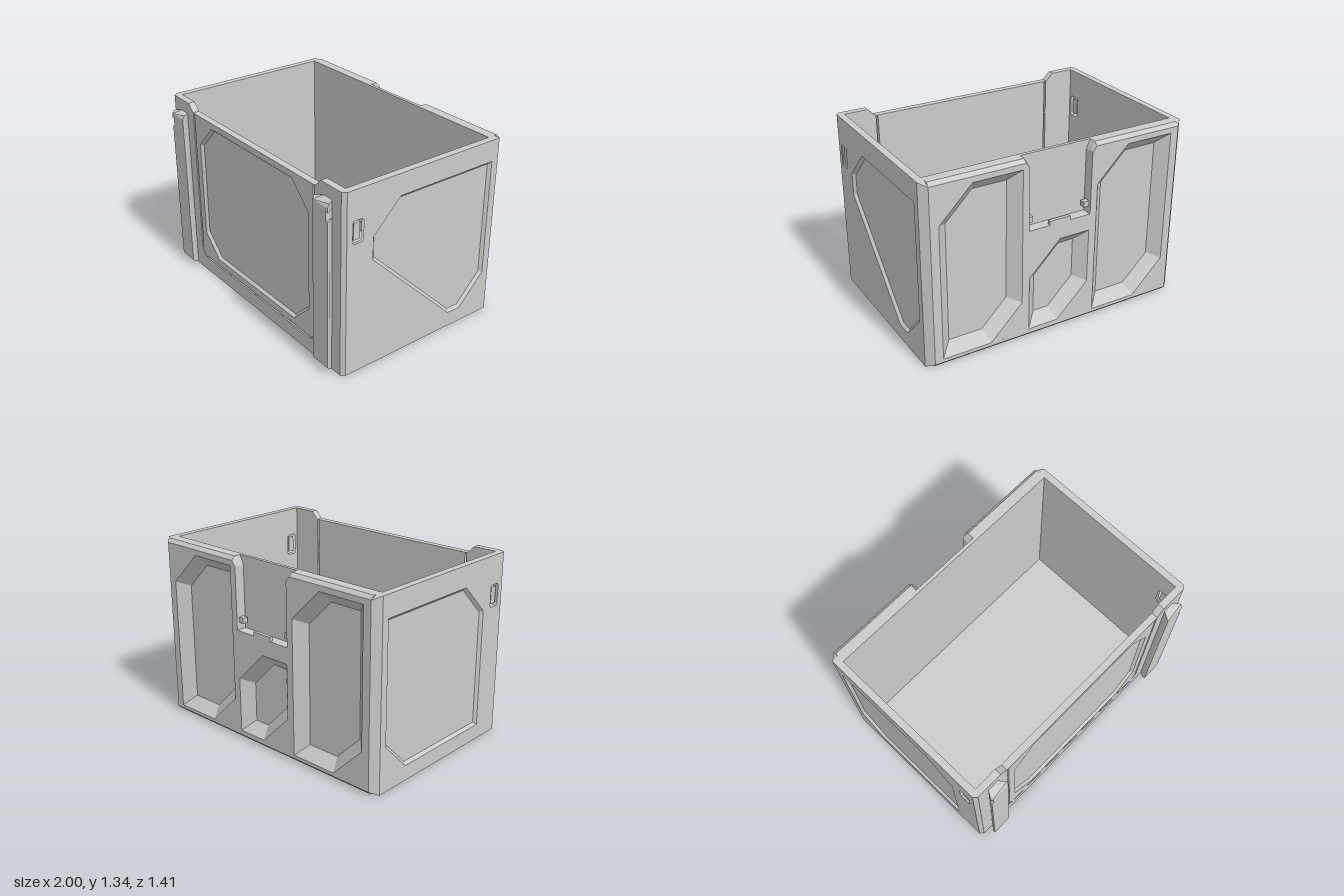
import * as THREE from 'three';

const material = new THREE.MeshStandardMaterial({ color: 0xcccccc, flatShading: true });
const H = 1.335;

const toPoints = (pts) => pts.map(([x, y]) => new THREE.Vector2(x, y));
const rect = (x0, y0, x1, y1) => [[x0, y0], [x1, y0], [x1, y1], [x0, y1]];

function add(parent, geometry, name) {
  const mesh = new THREE.Mesh(geometry, material);
  mesh.name = name;
  parent.add(mesh);
  return mesh;
}

// Flat plate with holes, extruded along local z from z0 to z1
function plate(outline, holes, z0, z1) {
  const shape = new THREE.Shape(toPoints(outline));
  shape.holes = holes.map((h) => new THREE.Path(toPoints(h)));
  const g = new THREE.ExtrudeGeometry(shape, { depth: z1 - z0, bevelEnabled: false });
  return g.translate(0, 0, z0);
}

// Upright prism from a plan outline given as [x, z]
function prism(plan, y0, y1) {
  return plate(plan.map(([x, z]) => [x, -z]), [], y0, y1).rotateX(-Math.PI / 2);
}

// Move every vertex by a rule
function reshape(g, rule) {
  const p = g.attributes.position;
  const v = new THREE.Vector3();
  for (let i = 0; i < p.count; i++) {
    rule(v.fromBufferAttribute(p, i));
    p.setXYZ(i, v.x, v.y, v.z);
  }
  g.computeVertexNormals();
  return g;
}

// Sloping walls from a recess mouth at z1 down to its inset floor at z0
function slopes(outline, inset, z0, z1) {
  const pts = toPoints(outline);
  if (THREE.ShapeUtils.area(pts) < 0) pts.reverse();
  const n = pts.length;
  const normals = pts.map((p, i) => {
    const d = pts[(i + 1) % n].clone().sub(p).normalize();
    return new THREE.Vector2(-d.y, d.x);
  });
  const inner = pts.map((p, i) => {
    const a = normals[(i + n - 1) % n], b = normals[i];
    return a.clone().add(b).multiplyScalar(inset / (1 + a.dot(b))).add(p);
  });
  const pos = [];
  for (let i = 0; i < n; i++) {
    const j = (i + 1) % n;
    const a = [pts[i].x, pts[i].y, z1], b = [pts[j].x, pts[j].y, z1];
    const c = [inner[j].x, inner[j].y, z0], d = [inner[i].x, inner[i].y, z0];
    pos.push(...a, ...b, ...c, ...a, ...c, ...d);
  }
  const g = new THREE.BufferGeometry();
  g.setAttribute('position', new THREE.Float32BufferAttribute(pos, 3));
  g.computeVertexNormals();
  return g;
}

// Side wall: local x runs front to back on +x (dir 1), back to front on -x
function sideWall(dir) {
  const wall = new THREE.Group();
  wall.name = dir > 0 ? 'leftWall' : 'rightWall';
  const flip = (pts) => pts.map(([z, y]) => [-dir * z, y]);
  const outline = flip(rect(-0.66, 0, 0.62, H));
  const lower = dir > 0 ? [[-0.29, 0.11], [0.41, 0.8]] : [[0.41, 0.11]];
  const recess = flip([[0.41, 0.965], [0.195, 1.18], [-0.605, 1.18],
    [-0.605, 0.32], [-0.4, 0.11], ...lower]);
  const slot = flip([[0.5, 0.965], [0.565, 0.965], [0.575, 0.98], [0.575, 1.11],
    [0.565, 1.125], [0.5, 1.125], [0.49, 1.11], [0.49, 0.98]]);
  add(wall, plate(outline, [slot], 0.95, 0.98), 'wallBacking');
  add(wall, plate(outline, [slot, recess], 0.98, 1), 'wallFace');
  add(wall, slopes(recess, 0.02, 0.98, 1), 'recessBevel');
  add(wall, plate(flip(rect(0.51, 0.985, 0.56, 1.105)), [], 0.96, 0.99), 'strapBar');
  wall.rotation.y = dir * Math.PI / 2;
  return wall;
}

// Front wall with lowered top edge, octagonal recess and a perforated outline
function frontWall() {
  const wall = new THREE.Group();
  wall.name = 'frontWall';
  const outline = [[-0.95, 0], [0.95, 0], [0.95, H], [0.775, H], [0.72, 1.28],
    [-0.72, 1.28], [-0.775, H], [-0.95, H]];
  const recess = [[-0.645, 1.06], [-0.475, 1.235], [0.475, 1.235], [0.645, 1.06],
    [0.645, 0.34], [0.475, 0.175], [-0.475, 0.175], [-0.645, 0.34]];
  const slots = [];
  for (const s of [-1, 1]) {
    for (const [a, b] of [[0.175, 0.587], [0.595, 1.017], [1.025, 1.274]]) {
      slots.push(rect(s * 0.702, a, s * 0.717, b));
    }
    slots.push([[s * 0.67, 0.125], [s * 0.67, 0.11], [s * 0.717, 0.165], [s * 0.702, 0.165]]);
  }
  for (let i = -2; i < 2; i++) slots.push(rect(i * 0.33 + 0.005, 0.11, i * 0.33 + 0.325, 0.124));
  add(wall, plate(outline, slots, 0.595, 0.625), 'wallBacking');
  add(wall, plate(outline, [...slots, recess], 0.625, 0.645), 'wallFace');
  add(wall, slopes(recess, 0.018, 0.625, 0.645), 'recessBevel');
  return wall;
}

// Back wall: thick, with three deep pockets and a latch notch (local x = -x)
function backWall() {
  const wall = new THREE.Group();
  wall.name = 'backWall';
  const pocket = (x0, x1, y0, y1, c = 0.24) => [[x0, y0], [x1 - c, y0], [x1, y0 + c],
    [x1, y1], [x0 + c, y1], [x0, y1 - c]];
  const pockets = [pocket(-0.89, -0.29, 0.05, 1.27), pocket(0.29, 0.89, 0.05, 1.27),
    pocket(-0.235, 0.235, 0.06, 0.7)];
  const outline = [[-0.95, 0], [0.95, 0], [0.95, H], [0.27, H], [0.24, 1.27],
    [0.24, 0.82], [-0.24, 0.82], [-0.24, 1.27], [-0.27, H], [-0.95, H]];
  add(wall, plate(rect(-0.95, 0, 0.95, H), [], 0.61, 0.635), 'wallBacking');
  add(wall, plate(outline, pockets, 0.635, 0.685), 'wallCore');
  add(wall, reshape(plate(outline, pockets, 0.685, 0.71), (v) => {
    if (v.z > 0.7) v.y = THREE.MathUtils.clamp(v.y, 0.025, 1.31);
  }), 'wallFace');
  for (const p of pockets) add(wall, slopes(p, 0.08, 0.635, 0.71), 'pocketBevel');
  add(wall, plate(rect(-0.08, 0.81, 0.08, 0.85), [], 0.685, 0.71), 'latchLip');
  for (const s of [-1, 1]) {
    add(wall, plate(rect(s * 0.2, 0.87, s * 0.25, 0.91), [], 0.65, 0.69), 'latchPeg');
  }
  wall.rotation.y = Math.PI;
  return wall;
}

// Dovetail rail with sloped ends and a notch in its outer edge
function rail(s) {
  const group = new THREE.Group();
  group.name = s > 0 ? 'leftRail' : 'rightRail';
  const section = (outer) => [[-0.04, 0.64], [-0.075, 0.69], [-0.075, 0.705],
    [outer, 0.705], [outer, 0.69], [0.04, 0.64]].map(([x, z]) => [s * (0.845 + x), z]);
  for (const [y0, y1, outer] of [[0, 1.13, 0.075], [1.13, 1.195, 0.058], [1.195, 1.25, 0.075]]) {
    add(group, reshape(prism(section(outer), y0, y1), (v) => {
      if (v.y < 0.001) v.y = Math.max(0, v.z - 0.65);
      if (v.y > 1.24 && v.z > 0.7) v.y = 1.225;
    }), 'railSection');
  }
  return group;
}

export function createModel() {
  const model = new THREE.Group();
  model.name = 'storageCrate';
  model.add(frontWall(), backWall());
  for (const s of [-1, 1]) {
    model.add(sideWall(s), rail(s));
    // Chamfered corner posts
    const mirror = (pts) => pts.map(([x, z]) => [s * x, z]);
    add(model, prism(mirror([[0.95, 0.62], [1, 0.62], [0.975, 0.645], [0.95, 0.645]]), 0, H), 'frontCorner');
    add(model, reshape(prism(mirror([[0.95, -0.66], [1, -0.66], [0.95, -0.71]]), 0, H), (v) => {
      if (v.z < -0.7) v.y = THREE.MathUtils.clamp(v.y, 0.025, 1.31);
    }), 'backCorner');
  }
  add(model, prism(rect(-0.96, -0.63, 0.96, 0.61), 0, 0.05), 'floor');
  return model;
}
